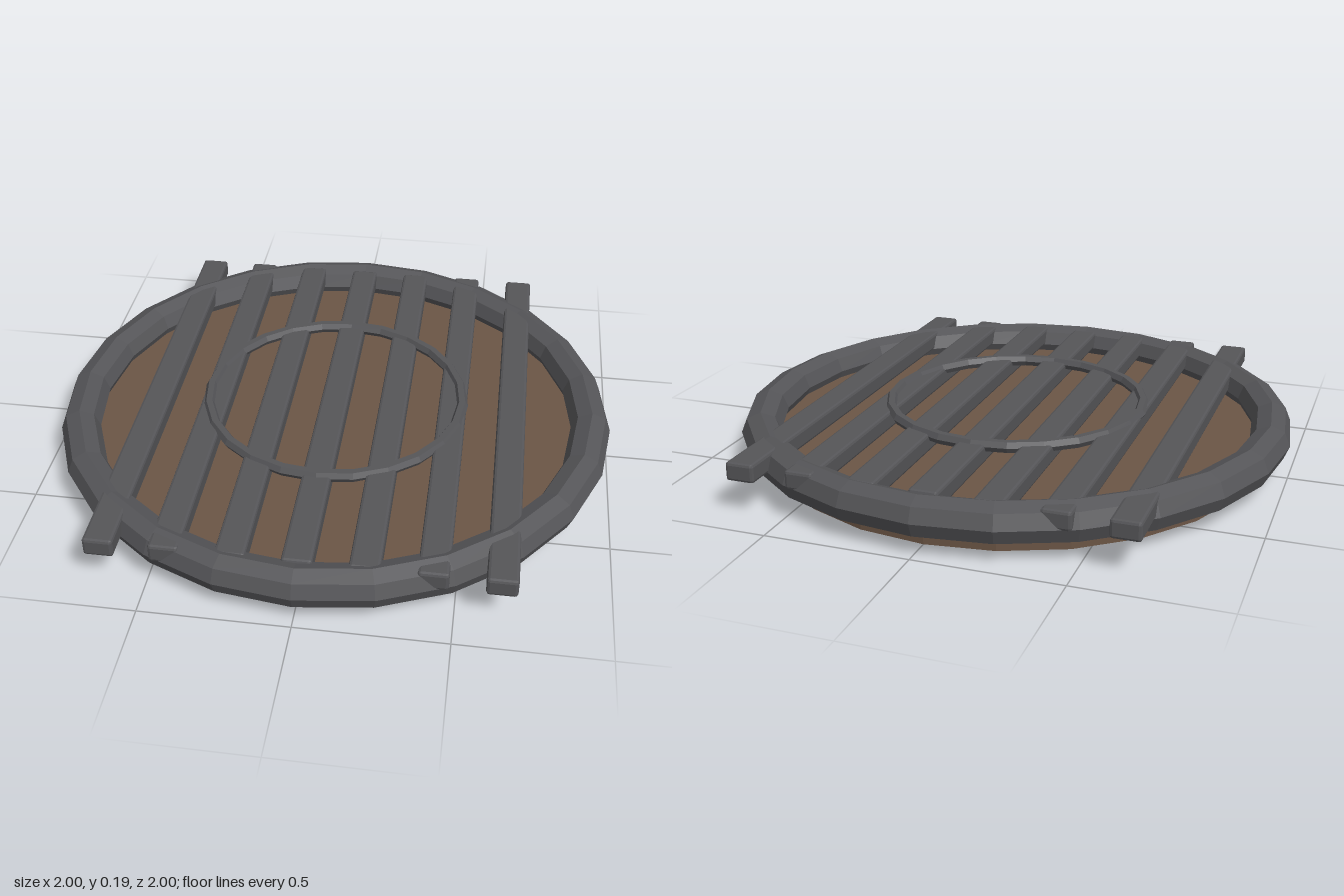
import * as THREE from 'three';
import { RoundedBoxGeometry } from 'three/addons/geometries/RoundedBoxGeometry.js';

export function createModel() {
  const model = new THREE.Group();
  model.name = 'roundGrateCover';
  const iron = new THREE.MeshStandardMaterial({ color: 0x555558, flatShading: true });
  const wood = new THREE.MeshStandardMaterial({ color: 0x6b5545, flatShading: true });
  const SIDES = 24;

  const add = (name, geometry, material, x, y, z) => {
    const mesh = new THREE.Mesh(geometry, material);
    mesh.name = name;
    mesh.position.set(x, y, z);
    model.add(mesh);
    return mesh;
  };

  // Flat-lying faceted ring
  const ring = (name, radius, tube, tubeSides, y) =>
    add(name, new THREE.TorusGeometry(radius, tube, tubeSides, SIDES).rotateX(-Math.PI / 2), iron, 0, y, 0);

  // Wooden base disc
  add('baseDisc', new THREE.CylinderGeometry(0.89, 0.89, 0.09, SIDES), wood, 0, 0.045, 0);

  // Heavy outer rim and thin inner hoop
  ring('outerRim', 0.93, 0.07, 8, 0.118);
  ring('innerHoop', 0.463, 0.022, 6, 0.174);

  // Seven parallel bars of equal length, the outer ones jutting past the rim
  const barGeometry = new RoundedBoxGeometry(0.1, 0.065, 1.78, 1, 0.01);
  for (let i = -3; i <= 3; i++) {
    add('grateBar', barGeometry, iron, i * 0.2145, 0.148, 0);
  }

  return model;
}
